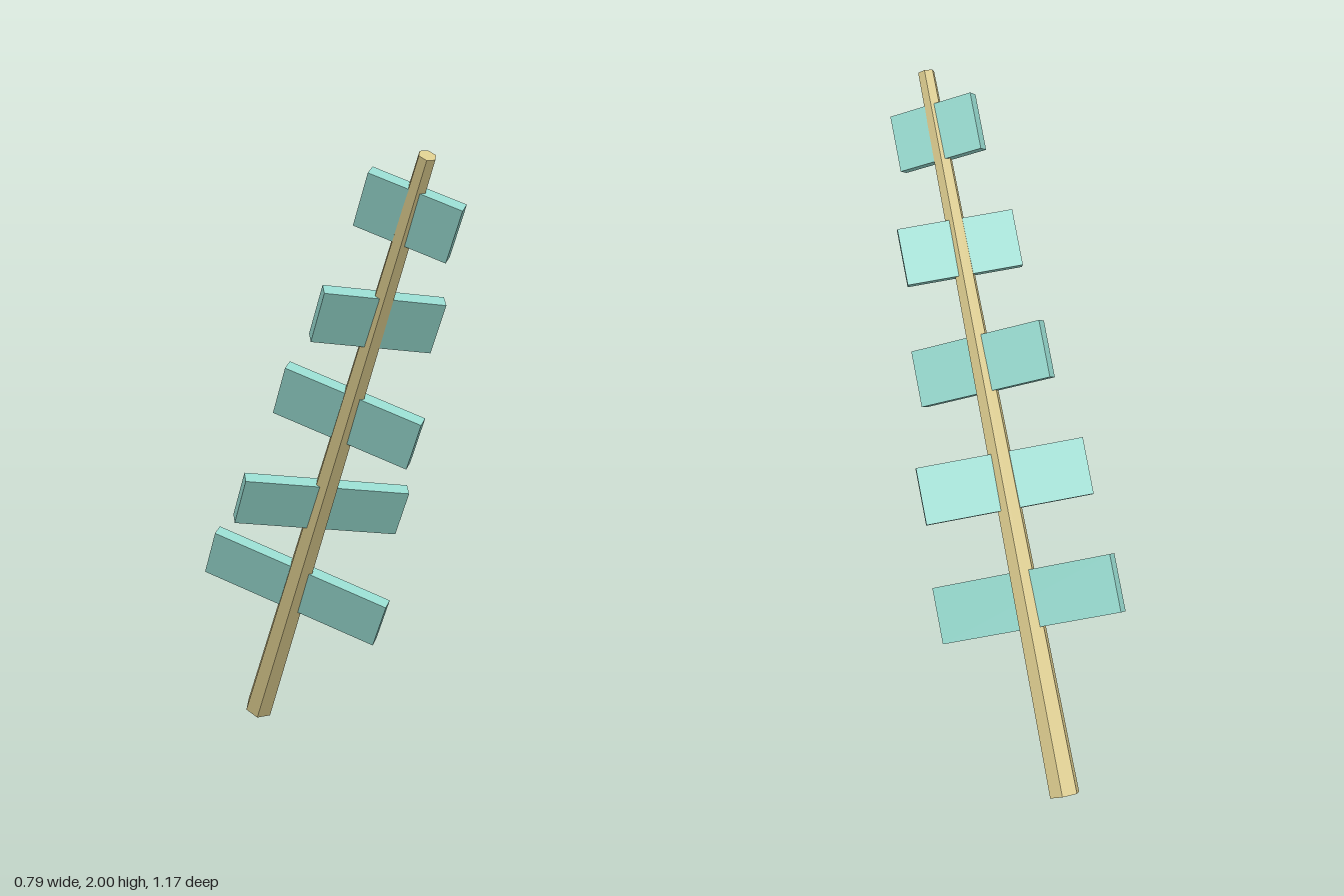
import * as THREE from 'three';

export function createModel() {
  const model = new THREE.Group();
  model.name = 'slattedPole';

  const wood = new THREE.MeshStandardMaterial({ color: 0xd9c98c, flatShading: true });
  const teal = new THREE.MeshStandardMaterial({ color: 0x94d6cb, flatShading: true });

  // Everything is built along a local y axis, then the assembly is leaned over
  const leaning = new THREE.Group();
  leaning.name = 'leaningAssembly';
  leaning.rotation.set(0.5, 0, -0.25, 'ZXY');
  leaning.position.set(0.025, 1.006, 0.009);
  model.add(leaning);

  // Tapered six-sided pole
  const pole = new THREE.Mesh(new THREE.CylinderGeometry(0.027, 0.049, 2.308, 6), wood);
  pole.name = 'pole';
  leaning.add(pole);

  // Slats shorten towards the tip and twist alternately around the pole
  for (let i = 0; i < 5; i++) {
    const slat = new THREE.Mesh(new THREE.BoxGeometry(0.612 - 0.0815 * i, 0.18, 0.04), teal);
    slat.name = `slat${i + 1}`;
    slat.position.y = -0.542 + 0.374 * i;
    slat.rotation.y = i % 2 ? 0.25 : -0.25;
    leaning.add(slat);
  }
  return model;
}
